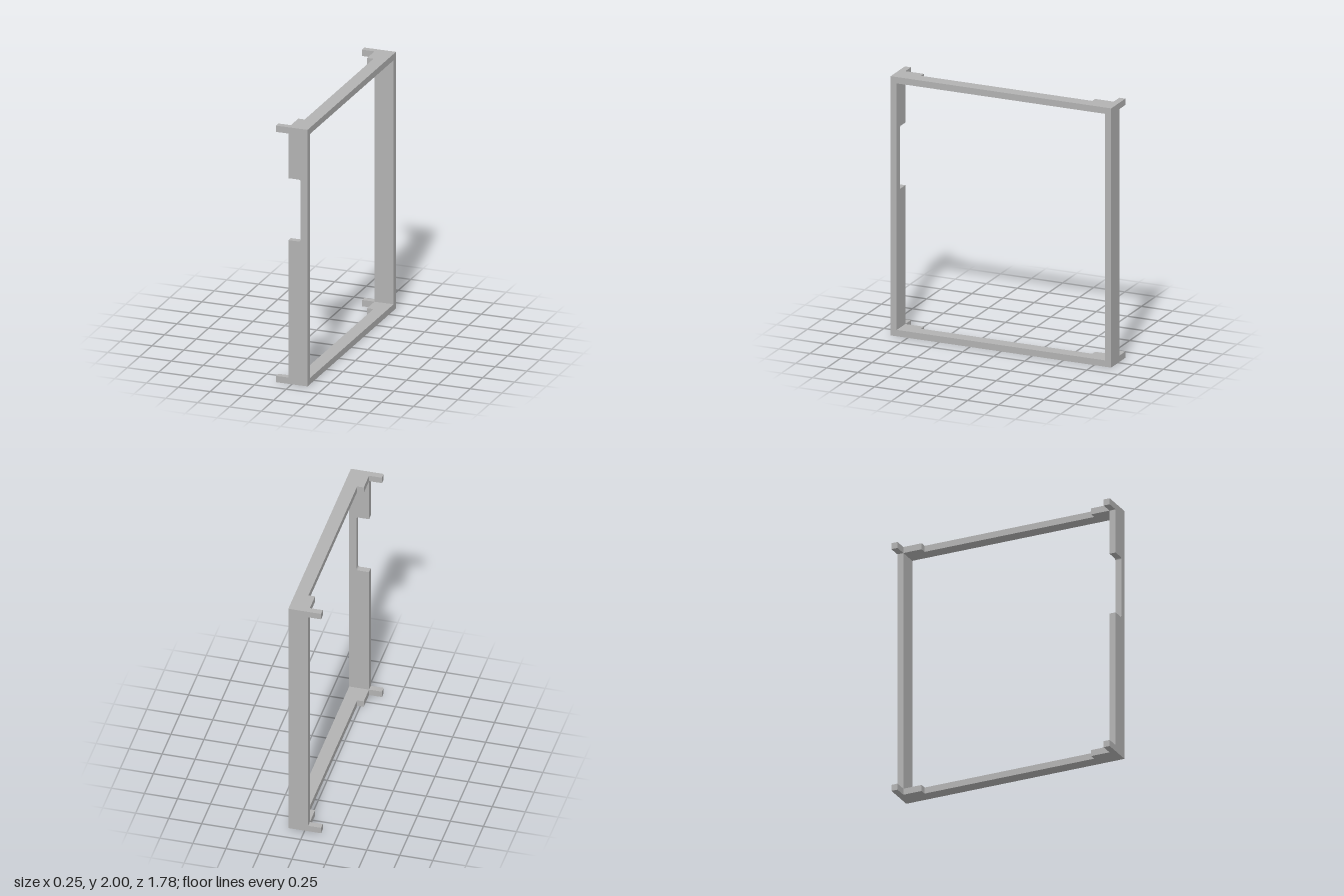
import * as THREE from 'three';

const T = 0.049;      // wall thickness
const Z = 0.888;      // half depth of the frame
const H = 2;          // height
const OUT = 0.124;    // outer edge in x
const IN = -0.026;    // inner edge of the walls
const TIP = -0.124;   // ends of the prongs

export function createModel() {
  const grey = new THREE.MeshStandardMaterial({ color: 0xb2b2b2 });
  grey.name = 'grey';
  const group = new THREE.Group();
  group.name = 'frame';

  const extrude = (shape) =>
    new THREE.ExtrudeGeometry(shape, { depth: T, bevelEnabled: false, curveSegments: 6 });
  const add = (name, geometry) => {
    const mesh = new THREE.Mesh(geometry, grey);
    mesh.name = name;
    group.add(mesh);
    return mesh;
  };

  // Upright wall with a prong at each end, and optionally a rounded notch
  const wallShape = (notched) => {
    const s = new THREE.Shape();
    s.moveTo(TIP, 0);
    s.lineTo(OUT, 0);
    s.lineTo(OUT, H);
    s.lineTo(TIP, H);
    s.lineTo(TIP, H - T);
    s.lineTo(IN, H - T);
    if (notched) {
      const y0 = 1.12, y1 = 1.603, x = 0.07, r = 0.016;
      s.lineTo(IN, y1);
      s.lineTo(x - r, y1);
      s.absarc(x - r, y1 - r, r, Math.PI / 2, 0, true);
      s.lineTo(x, y0 + r);
      s.absarc(x - r, y0 + r, r, 0, -Math.PI / 2, true);
      s.lineTo(IN, y0);
    }
    s.lineTo(IN, T);
    s.lineTo(TIP, T);
    s.closePath();
    return s;
  };
  add('frontWall', extrude(wallShape(true))).position.z = Z - T;
  add('backWall', extrude(wallShape(false))).position.z = -Z;

  // Top and bottom rails, wider near the walls
  const e = Z - T, step = 0.69, mid = 0.024;
  const rail = new THREE.Shape([
    [OUT, -e], [OUT, e], [IN, e], [IN, step], [mid, step],
    [mid, -step], [IN, -step], [IN, -e],
  ].map(([x, y]) => new THREE.Vector2(x, y)));
  const railGeometry = extrude(rail).rotateX(-Math.PI / 2);
  add('bottomRail', railGeometry);
  add('topRail', railGeometry).position.y = H - T;

  return group;
}
